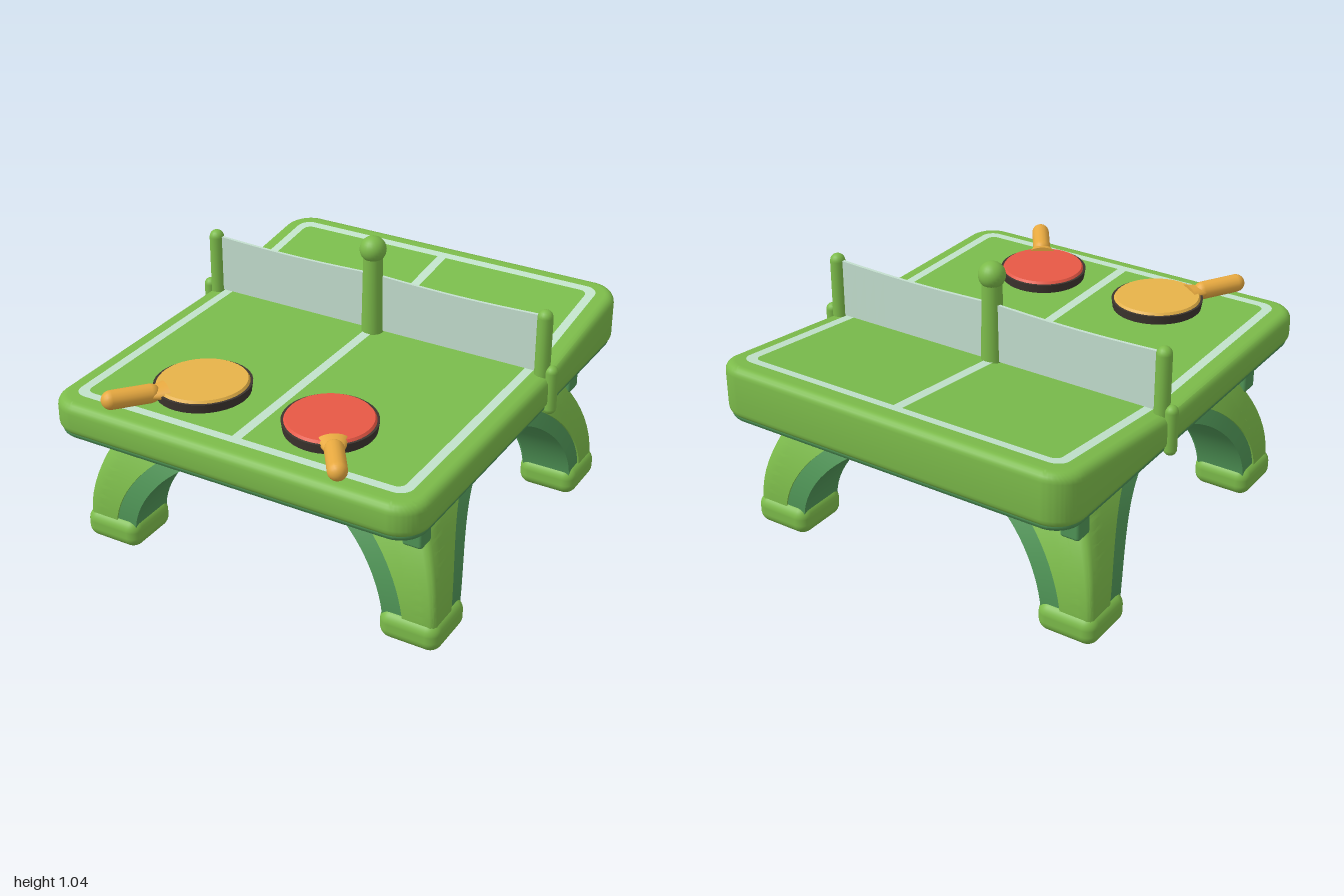
import * as THREE from 'three';
import { toCreasedNormals } from 'three/addons/utils/BufferGeometryUtils.js';
import { RoundedBoxGeometry } from 'three/addons/geometries/RoundedBoxGeometry.js';

const mat = (name, color, side = THREE.FrontSide) => {
  const m = new THREE.MeshStandardMaterial({ color, side });
  m.name = name;
  return m;
};

export function createModel() {
  const rimGreen = mat('rim green', 0x7cbb4a);
  const fieldGreen = mat('field green', 0x7abc4c, THREE.DoubleSide);
  const deepGreen = mat('deep green', 0x4f9456);
  const lineWhite = mat('line white', 0xc2e2cb, THREE.DoubleSide);
  const netGrey = mat('net grey', 0xc4dfcf);
  const red = mat('red rubber', 0xec5a47);
  const amber = mat('amber rubber', 0xeab54a);
  const wood = mat('handle wood', 0xeeae42);
  const black = mat('paddle edge', 0x3e3630);

  const model = new THREE.Group();
  const table = new THREE.Group();
  table.name = 'table';
  table.rotation.y = 0.349;
  model.add(table);

  const add = (parent, name, geo, material, x = 0, y = 0, z = 0) => {
    const m = new THREE.Mesh(geo, material);
    m.name = name;
    m.position.set(x, y, z);
    parent.add(m);
    return m;
  };
  const smooth = (geo) => toCreasedNormals(geo, 0.7);

  // Outline of a half table: straight at y0, rounded far corners at y1
  const halfShape = (w, y0, y1, r) => {
    const s = new THREE.Shape();
    s.moveTo(-w, y0);
    s.lineTo(w, y0);
    s.lineTo(w, y1 - r);
    s.absarc(w - r, y1 - r, r, 0, Math.PI / 2, false);
    s.lineTo(-w + r, y1);
    s.absarc(-w + r, y1 - r, r, Math.PI / 2, Math.PI, false);
    s.closePath();
    return s;
  };

  // Slab lying flat between two heights, with rounded edges of radius b
  const HW = 0.72, HL = 0.835, NET = -0.18, TOP = 0.66, BASE = 0.522, SLOPE = 0.122;
  const slab = (shape, y0, y1, b) => {
    const g = new THREE.ExtrudeGeometry(shape, {
      depth: y1 - y0 - 2 * b, bevelThickness: b, bevelSize: b, bevelOffset: -b, bevelSegments: 5, curveSegments: 12,
    });
    return g.rotateX(-Math.PI / 2).translate(0, y0 + b, 0);
  };
  const frontSlab = slab(halfShape(HW, -0.23, HL, 0.11), BASE + 0.012, TOP, 0.035).rotateY(Math.PI);
  add(table, 'frontTableHalf', smooth(frontSlab), rimGreen);
  const backSlab = slab(halfShape(HW, 0.14, HL, 0.11), BASE + 0.012, TOP, 0.035);
  const p = backSlab.attributes.position;
  for (let i = 0; i < p.count; i++) {
    if (p.getY(i) > 0.6) p.setY(i, p.getY(i) + SLOPE * (NET - p.getZ(i)));
  }
  backSlab.computeVertexNormals();
  add(table, 'backTableHalf', smooth(backSlab), rimGreen);
  for (const turn of [0, Math.PI]) {
    const under = slab(halfShape(HW - 0.01, -0.05, HL - 0.01, 0.1), BASE, BASE + 0.045, 0.02);
    add(table, 'underside', smooth(under), deepGreen).rotation.y = turn;
  }

  // Playing field and painted lines, flat in front and tilted behind the net
  const field = (name, length, back) => {
    const g = new THREE.Group();
    g.name = name;
    g.position.set(0, TOP, NET);
    if (back) g.rotation.x = Math.atan(SLOPE);
    else g.rotation.y = Math.PI;
    const flat = (shape) => new THREE.ShapeGeometry(shape, 8).rotateX(-Math.PI / 2);
    add(g, 'field', flat(halfShape(0.655, 0, length, 0.05)), fieldGreen, 0, 0.003, 0);
    const outer = halfShape(0.652, 0, length, 0.05).getPoints(6);
    const inner = halfShape(0.618, 0, length - 0.034, 0.03).getPoints(6);
    const open = (pts) => pts.slice(1, -1); // drop the first corner and closing point
    const o = [...open(outer), new THREE.Vector2(-0.652, 0)];
    const n = [...open(inner), new THREE.Vector2(-0.618, 0)];
    add(g, 'borderLine', flat(new THREE.Shape([...o, ...n.reverse()])), lineWhite, 0, 0.006, 0);
    const mid = new THREE.PlaneGeometry(0.036, length - 0.02).rotateX(-Math.PI / 2);
    add(g, 'centreLine', mid, lineWhite, 0, 0.006, -(length - 0.02) / 2);
    table.add(g);
  };
  field('frontField', 0.945, false);
  field('backField', 0.59, true);

  // Net: thin sheet with a slight sag between posts
  const net = new THREE.BoxGeometry(1.36, 0.22, 0.012, 32, 1, 1);
  const np = net.attributes.position;
  for (let i = 0; i < np.count; i++) {
    const x = np.getX(i);
    if (np.getY(i) > 0) np.setY(i, 0.11 - 0.009 * Math.abs(Math.sin((x / 0.68) * Math.PI)));
  }
  net.computeVertexNormals();
  add(table, 'net', net, netGrey, 0, 0.778, NET);
  const post = (r, y0, y1) => new THREE.CapsuleGeometry(r, y1 - y0 - 2 * r, 6, 16);
  for (const s of [-1, 1]) {
    add(table, 'netPost', post(0.028, 0.62, 0.91), rimGreen, s * 0.683, 0.765, NET);
    add(table, 'netClamp', post(0.024, 0.51, 0.7), rimGreen, s * 0.72, 0.605, NET);
  }
  add(table, 'centrePost', new THREE.CylinderGeometry(0.036, 0.042, 0.32, 20), rimGreen, 0.005, 0.8, NET + 0.01);
  add(table, 'centreKnob', new THREE.SphereGeometry(0.049, 24, 16), rimGreen, 0.005, 0.99, NET + 0.01);

  // Arched sides: a rectangular section swept from foot to foot, leaning inward as it rises
  const CROWN = 0.53;
  const lean = (y) => 0.155 * Math.max(0, (y - 0.1) / 0.42) ** 2;
  const archGeometry = (half, open, crown, depth, face, r) => {
    const rise = 0.62, turn = Math.asin((CROWN - 0.06) / rise), steps = 48;
    const outerPoint = (a) => {
      const b = a > Math.PI / 2 ? Math.PI - a : a;
      const y = Math.min(CROWN, 0.06 + rise * Math.sin(b));
      const x = (half - lean(y)) * (b > turn ? (Math.PI / 2 - b) / (Math.PI / 2 - turn) : 1);
      return [a > Math.PI / 2 ? -x : x, y];
    };
    // Section as [share from opening to outside, depth behind the face], outer front edge rounded
    const loop = [[0, 0], [0.3, 0], [0.6, 0], [1 - 6 * r, 0], [1 - 2 * r, 0.3 * r], [1, r], [1, depth], [0.5, depth], [0, depth]];
    const pos = [], index = [], n = loop.length;
    for (let i = 0; i <= steps; i++) {
      const a = (i / steps) * Math.PI;
      const [ox, oy] = outerPoint(a);
      const ix = open * Math.cos(a), iy = 0.06 + (crown - 0.06) * Math.sin(a);
      loop.forEach(([s, d], j) => {
        const y = iy + (oy - iy) * s;
        pos.push(ix + (ox - ix) * s, y, face - d - lean(y));
        if (i === steps) return;
        const k = i * n, j1 = (j + 1) % n;
        index.push(k + j, k + j1, k + n + j1, k + j, k + n + j1, k + n + j);
      });
    }
    const g = new THREE.BufferGeometry();
    g.setAttribute('position', new THREE.Float32BufferAttribute(pos, 3));
    g.setIndex(index);
    return smooth(g);
  };
  const FX = 0.71, FZ = 0.66;
  [[FX, FZ], [FZ, FX], [FX, FZ], [FZ, FX]].forEach(([half, face], turn) => {
    const side = new THREE.Group();
    side.name = 'archedSide';
    side.rotation.y = (turn * Math.PI) / 2;
    add(side, 'archBand', archGeometry(half, half - 0.12, 0.508, 0.11, face, 0.025), rimGreen);
    add(side, 'archLining', archGeometry(half - 0.035, half - 0.2, 0.455, 0.19, face - 0.006, 0), deepGreen);
    table.add(side);
  });

  // Feet and corner stubs
  for (const sx of [-1, 1]) {
    for (const sz of [-1, 1]) {
      const foot = new RoundedBoxGeometry(0.23, 0.115, 0.23, 5, 0.045);
      add(table, 'foot', foot, rimGreen, sx * 0.61, 0.0575, sz * 0.56);
      const stub = new RoundedBoxGeometry(0.075, 0.16, 0.075, 3, 0.012);
      add(table, 'cornerStub', stub, deepGreen, sx * 0.605, 0.46, sz * 0.6);
    }
  }

  // Paddles resting on the front half
  const paddle = (name, x, z, turn, rubber) => {
    const g = new THREE.Group();
    g.name = name;
    g.position.set(x, TOP, z);
    g.rotation.y = turn;
    const blade = add(g, 'bladeEdge', new THREE.CylinderGeometry(0.165, 0.16, 0.034, 40), black, 0, 0.023, 0);
    blade.scale.z = 1.05;
    const face = add(g, 'bladeFace', new THREE.CylinderGeometry(0.15, 0.157, 0.01, 40), rubber, 0, 0.044, 0);
    face.scale.z = 1.05;
    const throat = new THREE.CylinderGeometry(0.03, 0.055, 0.07, 20).rotateX(Math.PI / 2).scale(1, 0.5, 1);
    add(g, 'throat', throat, wood, 0, 0.036, 0.168);
    const handle = new THREE.CapsuleGeometry(0.034, 0.14, 6, 16).rotateX(Math.PI / 2);
    add(g, 'handle', handle, wood, 0, 0.041, 0.26).rotation.x = -0.05;
    model.add(g);
  };
  paddle('redPaddle', 0.4, 0.412, 0.95, red);
  paddle('amberPaddle', -0.078, 0.585, -0.27, amber);

  return model;
}
